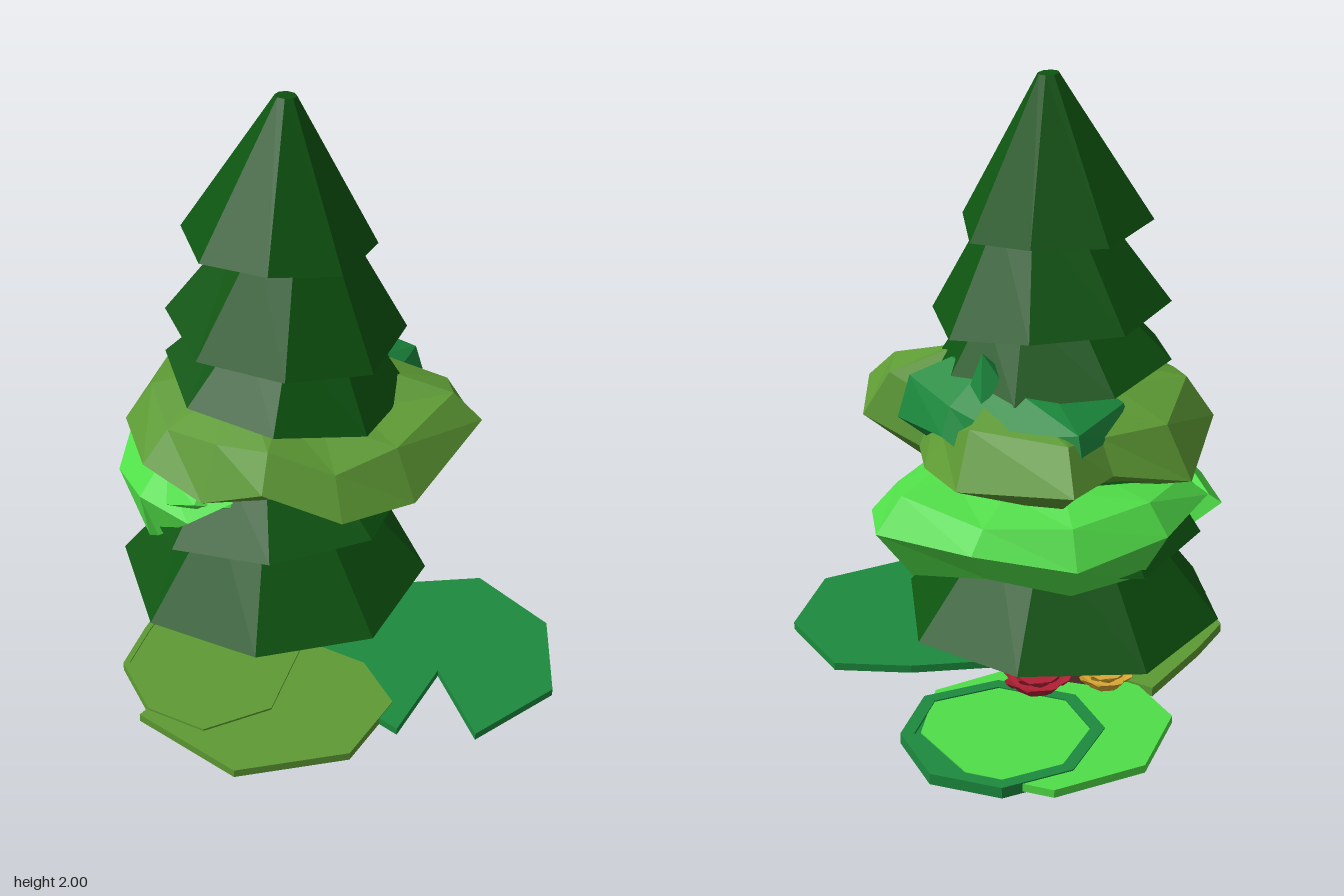
import * as THREE from 'three';

const DARK = 0x0d5410, OLIVE = 0x5d9a34, BRIGHT = 0x50de48, TEAL = 0x1c8a3e;
const BROWN = 0x54302a, YELLOW = 0xd9a832, RED = 0xb02035, GREY = 0xaaaaaa;

function part(group, name, geometry, color) {
  const mesh = new THREE.Mesh(geometry, new THREE.MeshStandardMaterial({
    color, flatShading: true, side: THREE.DoubleSide }));
  mesh.name = name;
  group.add(mesh);
  return mesh;
}

// Closed low-poly surface through rings that share one vertex count.
function loft(rings) {
  const n = rings[0].length, pos = rings.flat(2), index = [];
  for (let r = 0; r < rings.length - 1; r++) {
    for (let i = 0; i < n; i++) {
      const j = (i + 1) % n, a = r * n, b = a + n;
      index.push(a + i, a + j, b + i, a + j, b + j, b + i);
    }
  }
  const last = (rings.length - 1) * n;
  for (let i = 1; i < n - 1; i++) {
    index.push(0, i + 1, i, last, last + i, last + i + 1);
  }
  const g = new THREE.BufferGeometry();
  g.setAttribute('position', new THREE.Float32BufferAttribute(pos, 3));
  g.setIndex(index);
  const flat = g.toNonIndexed();
  flat.computeVertexNormals();
  return flat;
}

// Middle of an outline in x and z.
function middle(outline) {
  return [0, 1].map(k => outline.reduce((s, p) => s + p[k], 0) / outline.length);
}

// Irregular leaf mass: outline points [x, z, lift] repeated at levels [y, scale, wobble].
function foliage(outline, levels) {
  const [cx, cz] = middle(outline);
  return loft(levels.map(([y, s, wobble], k) => outline.map(([x, z, lift = 0], i) => [
    cx + (x - cx) * s, y + lift + wobble * Math.sin(i * 2.3 + k * 1.1), cz + (z - cz) * s])));
}

// Eight-sided conifer skirt whose rim corners alternate in height.
function skirtGeometry(h, topR, rimR) {
  const profile = [[0.06, 0.09], [rimR * 0.8, 0.03], [rimR, 0], [topR, h], [0, h]]
    .map(([r, y]) => new THREE.Vector2(r, y));
  const g = new THREE.LatheGeometry(profile, 8), p = g.attributes.position;
  for (let i = 0; i < p.count; i++) {
    const side = Math.floor(i / profile.length), row = i % profile.length;
    if (row === 2 && side % 2) p.setY(i, 0.018);
  }
  g.computeVertexNormals();
  return g;
}

// Flat floating leaf cut from an outline in x and z.
function leafPad(outline, top, depth, hole) {
  const shape = new THREE.Shape(outline.map(([x, z]) => new THREE.Vector2(x, z)));
  if (hole) {
    const [cx, cz] = middle(outline);
    shape.holes.push(new THREE.Path(outline.map(([x, z]) =>
      new THREE.Vector2(cx + (x - cx) * hole, cz + (z - cz) * hole)).reverse()));
  }
  return new THREE.ExtrudeGeometry(shape, { depth, bevelEnabled: false })
    .rotateX(Math.PI / 2).translate(0, top, 0);
}

// Open blossom: two rings of broad petals around a low cup.
function blossom(name, color, x, y, z, r, h) {
  const flower = new THREE.Group();
  flower.name = name;
  part(flower, 'cup', new THREE.CylinderGeometry(r * 0.85, r * 0.6, h * 0.6, 8), color)
    .position.y = h * 0.3;
  for (const [count, reach, lift] of [[8, 1, 0.8], [6, 0.7, 1]]) {
    for (let i = 0; i < count; i++) {
      const petal = part(flower, 'petal', loft([
        [[0.3, 0.2, -0.15], [0.3, 0.2, 0.15], [0.3, 0.05, 0]],
        [[0.75, 0.75, -0.32], [0.75, 0.75, 0.32], [0.8, 0.35, 0]],
        [[1, 0.95, -0.12], [1, 0.95, 0.12], [1, 0.8, 0]],
      ].map(ring => ring.map(([a, b, c]) => [a * r * reach, b * h * lift, c * r]))), color);
      petal.rotation.y = (i + reach) / count * Math.PI * 2;
    }
  }
  flower.position.set(x, y, z);
  return flower;
}

export function createModel() {
  const model = new THREE.Group();
  model.name = 'layeredTree';

  // Four-sided tapering trunk
  part(model, 'trunk', new THREE.CylinderGeometry(0.05, 0.21, 1.7, 4), BROWN)
    .position.set(-0.12, 0.85, 0);

  // Conifer skirts: x, z, top y, top radius, rim y, rim radius, turn, tilt x, tilt z
  const tiers = [
    [-0.07, 0.01, 2.0, 0.033, 1.54, 0.3, 0, -0.08, 0.02],
    [-0.05, 0, 1.6, 0.16, 1.255, 0.375, 0.1, -0.06, -0.05],
    [-0.045, 0, 1.31, 0.2, 1.065, 0.39, 0, -0.09, -0.07],
    [-0.08, 0, 1.1, 0.2, 0.82, 0.4, 0.2, 0, 0],
    [-0.11, 0, 0.84, 0.22, 0.58, 0.45, 0.08, 0.03, 0.08],
    [-0.12, 0, 0.62, 0.24, 0.265, 0.515, 0, 0, 0],
    [-0.125, 0, 0.42, 0.2, 0.195, 0.39, 0, 0, -0.03],
  ];
  for (const [x, z, topY, topR, rimY, rimR, turn, tiltX, tiltZ] of tiers) {
    const skirt = part(model, 'coniferTier', skirtGeometry(topY - rimY, topR, rimR), DARK);
    skirt.position.set(x, rimY, z);
    skirt.rotation.set(tiltX, turn, tiltZ);
  }

  // Broad leaf masses wrapped around the conifer
  part(model, 'oliveCanopy', foliage(
    [[-0.62, -0.25, -0.01], [-0.33, -0.48, 0.03], [-0.08, -0.46, -0.06], [0.12, -0.38, -0.07],
      [0.3, -0.49, 0.05], [0.42, -0.41, 0.05], [0.48, -0.08, -0.03], [0.43, 0.17, -0.01],
      [0.27, 0.35, 0.02], [0.1, 0.45, 0.02], [-0.12, 0.51, 0.03], [-0.34, 0.42, 0.02],
      [-0.55, 0.2], [-0.54, -0.07]],
    [[1.06, 0.5, 0.01], [1.0, 0.84, 0.03], [0.87, 1, 0.045], [0.76, 0.62, 0.015]]), OLIVE);
  part(model, 'brightBush', foliage(
    [[-0.61, 0.08], [-0.59, -0.22], [-0.42, -0.48], [-0.14, -0.655], [0.1, -0.56],
      [0.25, -0.33, -0.02], [0.18, -0.1], [0.08, 0.2, 0.04], [-0.04, 0.38, 0.03], [-0.24, 0.44],
      [-0.45, 0.33, 0.04]],
    [[0.81, 0.55, 0.01], [0.76, 0.85, 0.03], [0.67, 1, 0.03], [0.54, 0.8, 0.03], [0.5, 0.5, 0.01]]),
  BRIGHT);
  part(model, 'frontLeafPoint', loft([
    [[-0.5, 0.74, 0.3], [0.06, 0.76, 0.3], [-0.24, 0.78, 0.36]],
    [[-0.43, 0.66, 0.4], [-0.05, 0.66, 0.4], [-0.24, 0.68, 0.45]],
    [[-0.26, 0.51, 0.4], [-0.22, 0.51, 0.4], [-0.24, 0.51, 0.42]],
  ]), BRIGHT);
  part(model, 'tealCanopy', foliage(
    [[-0.57, -0.18, -0.01], [-0.42, -0.36], [-0.15, -0.44, 0.04], [0.12, -0.46, 0.02],
      [0.2, -0.2], [0.3, 0.02], [0.2, 0.18], [-0.1, 0.22], [-0.4, 0.1]],
    [[1.1, 0.55, 0.02], [1.02, 0.88, 0.03], [0.9, 0.98, 0.03], [0.83, 0.65, 0.02]]), TEAL);
  const tip = part(model, 'tealLeafTip', new THREE.ConeGeometry(0.17, 0.28, 5), TEAL);
  tip.position.set(-0.17, 1.07, -0.27);
  tip.rotation.x = -0.25;

  // Leaf pads lying around the base
  const leftTeal = [[-0.71, -0.3], [-0.69, -0.53], [-0.52, -0.68], [-0.28, -0.66], [-0.12, -0.5],
    [-0.15, -0.25], [-0.35, -0.08], [-0.56, -0.1]];
  const oliveSmall = [[0.03, 0.64], [-0.2, 0.58], [-0.3, 0.42], [-0.44, 0.15], [-0.2, 0.02],
    [0.1, 0.05], [0.28, 0.33], [0.22, 0.56]];
  part(model, 'rightTealPad', leafPad([[0.22, -0.66], [0.54, -0.67], [0.785, -0.45],
    [0.775, -0.11], [0.48, -0.22], [0.6, 0.07], [0.42, 0.1], [0.08, 0.06], [-0.04, -0.16],
    [0.08, -0.45]], 0.061, 0.026), TEAL);
  part(model, 'brightPad', leafPad([[-0.79, -0.1], [-0.77, -0.4], [-0.56, -0.58], [-0.3, -0.6],
    [-0.1, -0.45], [-0.1, -0.1], [-0.3, 0.13], [-0.6, 0.12]], 0.064, 0.026), BRIGHT);
  part(model, 'leftTealPad', leafPad(leftTeal, 0.06, 0.028), TEAL);
  part(model, 'leftTealRim', leafPad(leftTeal, 0.068, 0.02, 0.86), TEAL);
  part(model, 'frontOlivePad', leafPad([[0.59, 0.26], [0.42, 0.59], [0.03, 0.675], [-0.02, 0.45],
    [-0.03, 0.08], [0.3, -0.05], [0.5, 0]], 0.064, 0.028), OLIVE);
  part(model, 'smallOlivePad', leafPad(oliveSmall, 0.066, 0.026), OLIVE);
  part(model, 'smallOliveRim', leafPad(oliveSmall, 0.071, 0.02, 0.92), OLIVE);

  // Undergrowth and blossoms beneath the lowest skirt
  const shrub = part(model, 'shrub', new THREE.IcosahedronGeometry(1, 1), OLIVE);
  shrub.scale.set(0.21, 0.09, 0.23);
  shrub.position.set(-0.12, 0.15, -0.02);
  const sprig = part(model, 'sprig', new THREE.IcosahedronGeometry(0.06, 0), BRIGHT);
  sprig.position.set(-0.28, 0.17, 0.08);
  model.add(blossom('greyBlossom', GREY, -0.01, 0.065, 0, 0.19, 0.09));
  model.add(blossom('yellowBlossom', YELLOW, -0.33, 0.065, 0.04, 0.09, 0.055));
  model.add(blossom('redBlossom', RED, -0.24, 0.065, -0.16, 0.11, 0.06));

  // Forked twig on the side
  for (const [dx, dz] of [[0.05, 0.05], [0.06, -0.05]]) {
    const path = new THREE.LineCurve3(new THREE.Vector3(0.17, 0.7, -0.21),
      new THREE.Vector3(0.2 + dx, 0.77, -0.21 + dz));
    part(model, 'twig', new THREE.TubeGeometry(path, 1, 0.017, 5), 0x5a2a38);
  }
  return model;
}
